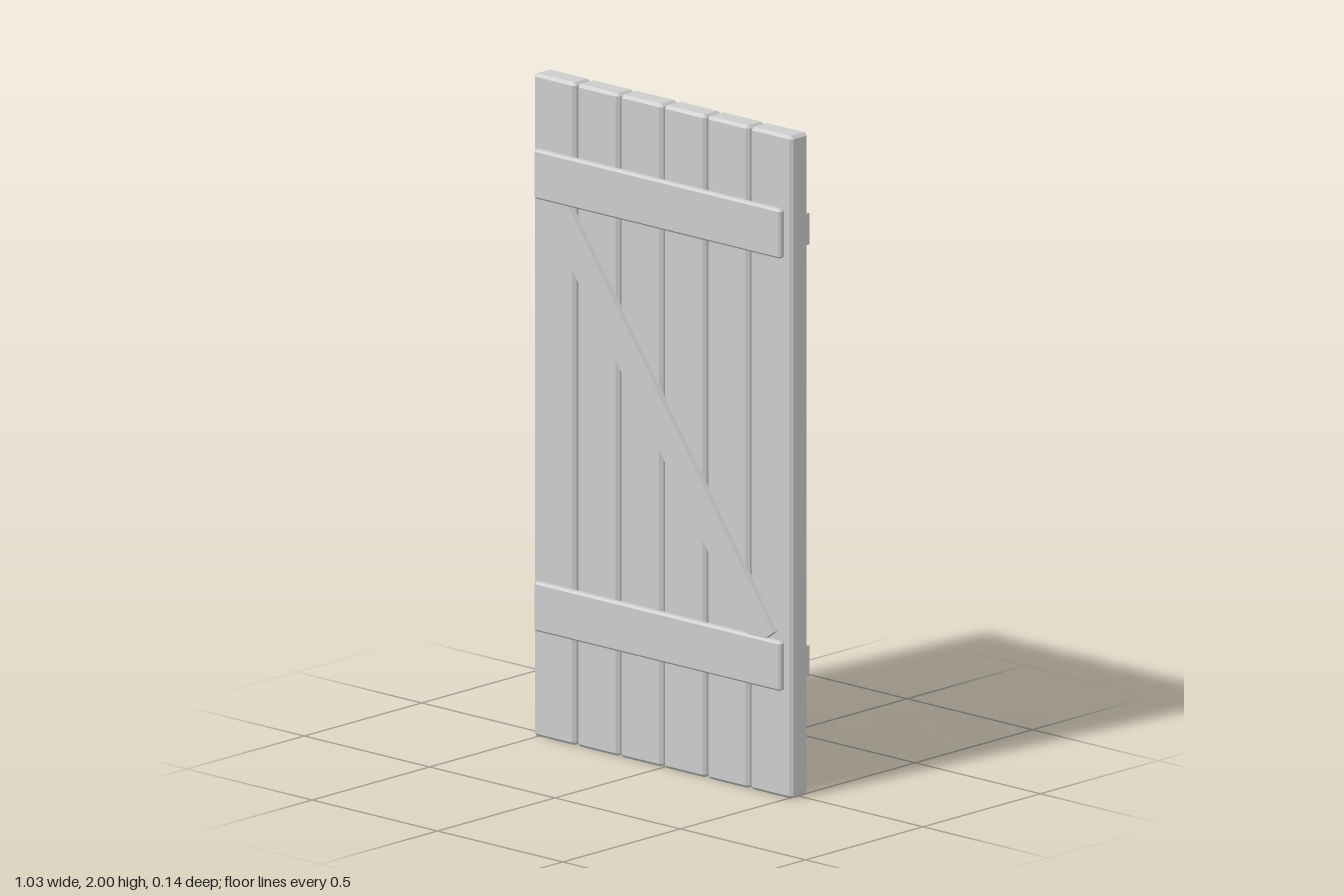
import * as THREE from 'three';
import { ConvexGeometry } from 'three/addons/geometries/ConvexGeometry.js';

// Box with every edge and corner chamfered by c
function chamferBox(w, h, d, c) {
  const x = w / 2, y = h / 2, z = d / 2, points = [];
  for (const sx of [-1, 1]) for (const sy of [-1, 1]) for (const sz of [-1, 1]) {
    points.push(
      new THREE.Vector3(sx * x, sy * (y - c), sz * (z - c)),
      new THREE.Vector3(sx * (x - c), sy * y, sz * (z - c)),
      new THREE.Vector3(sx * (x - c), sy * (y - c), sz * z));
  }
  return new ConvexGeometry(points);
}

export function createModel() {
  const door = new THREE.Group();
  door.name = 'plankDoor';
  const grey = new THREE.MeshStandardMaterial({ color: 0xcccccc });
  grey.name = 'plain grey';

  function add(name, geometry, x, y, z) {
    const mesh = new THREE.Mesh(geometry, grey);
    mesh.name = name;
    mesh.position.set(x, y, z);
    door.add(mesh);
    return mesh;
  }

  // Six upright planks
  const pitch = 0.173;
  const plank = chamferBox(0.166, 2, 0.074, 0.009);
  for (let i = 0; i < 6; i++) add('plank', plank, (i - 2.5) * pitch, 1, 0.007);

  // Front battens, back straps and their studs
  const batten = chamferBox(0.982, 0.148, 0.026, 0.006);
  const strap = new THREE.BoxGeometry(1.01, 0.095, 0.018);
  const stud = new THREE.BoxGeometry(0.03, 0.036, 0.014);
  for (const y of [0.4, 1.705]) {
    add('batten', batten, 0, y, 0.055);
    add('strap', strap, 0, y - 0.001, -0.035);
    for (let i = 0; i < 6; i++) add('stud', stud, (i - 2.5) * pitch, y, -0.047);
  }

  // Diagonal brace between the battens
  const brace = add('brace', new THREE.BoxGeometry(1.44, 0.097, 0.02), 0, 1.053, 0.052);
  brace.rotation.z = Math.atan2(-1.167, 0.844);

  // Ring handle hanging from its mount
  add('handleMount', new THREE.BoxGeometry(0.045, 0.06, 0.046), -0.355, 1.075, -0.05);
  add('handleRing', new THREE.TorusGeometry(0.078, 0.009, 8, 16), -0.355, 0.988, -0.051);

  return door;
}
